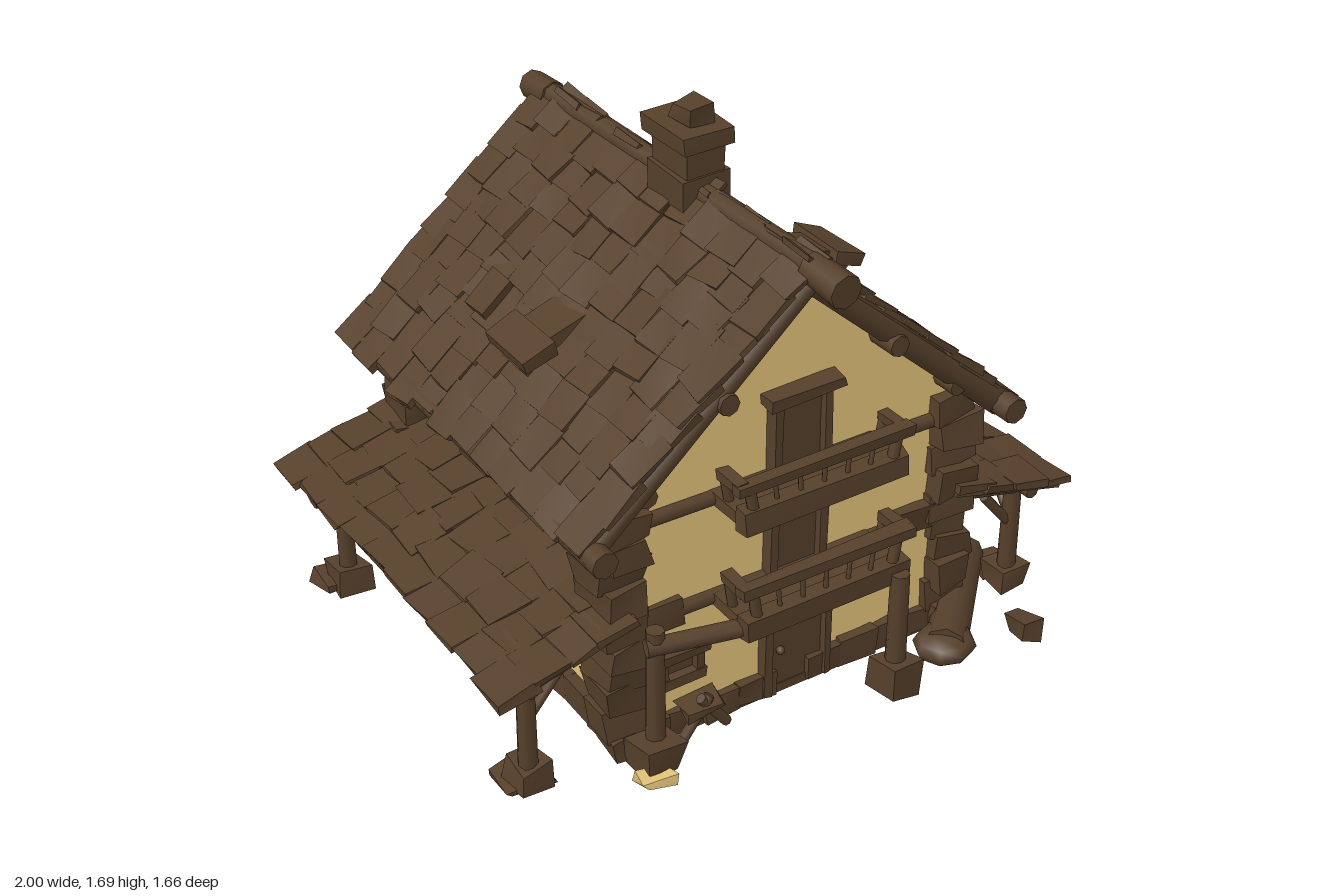
import * as THREE from 'three';
import { mergeGeometries } from 'three/addons/utils/BufferGeometryUtils.js';

export function createModel() {
  const model = new THREE.Group();
  const wood = new THREE.MeshStandardMaterial({ color: 0x56402b });
  wood.name = 'dark brown';
  const plaster = new THREE.MeshStandardMaterial({ color: 0xe6c67b });
  plaster.name = 'cream plaster';

  let seed = 7;
  const rnd = () => (seed = (seed * 16807) % 2147483647) / 2147483647;
  const jit = (a) => (rnd() - 0.5) * 2 * a;

  // Box whose eight corners are shifted by a small random amount
  function block(w, h, d, x, y, z, rough = 0, rot = [0, 0, 0]) {
    const g = new THREE.BoxGeometry(w, h, d);
    const p = g.attributes.position;
    const off = Array.from({ length: 8 }, () => [jit(rough), jit(rough), jit(rough)]);
    for (let i = 0; i < p.count; i++) {
      const o = off[(p.getX(i) > 0 ? 1 : 0) + (p.getY(i) > 0 ? 2 : 0) + (p.getZ(i) > 0 ? 4 : 0)];
      p.setXYZ(i, p.getX(i) + o[0], p.getY(i) + o[1], p.getZ(i) + o[2]);
    }
    g.computeVertexNormals();
    g.rotateX(rot[0]).rotateY(rot[1]).rotateZ(rot[2]);
    return g.translate(x, y, z);
  }

  // Round timber between two points
  function log(a, b, r, r2 = r) {
    const A = new THREE.Vector3(...a), B = new THREE.Vector3(...b);
    const dir = B.clone().sub(A);
    const g = new THREE.CylinderGeometry(r2, r, dir.length(), 8);
    g.applyQuaternion(new THREE.Quaternion().setFromUnitVectors(new THREE.Vector3(0, 1, 0), dir.normalize()));
    return g.translate(...A.add(B).multiplyScalar(0.5).toArray());
  }

  function part(name, geometries, material = wood, parent = model) {
    const m = new THREE.Mesh(mergeGeometries(geometries), material);
    m.name = name;
    parent.add(m);
    return m;
  }

  // Plastered house body with both gables
  const outline = new THREE.Shape([[-0.55, 0.03], [0.55, 0.03], [0.55, 0.88], [0, 1.38], [-0.55, 0.88]]
    .map(([x, y]) => new THREE.Vector2(x, y)));
  part('walls', [new THREE.ExtrudeGeometry(outline, { depth: 1.24, bevelEnabled: false }).translate(0, 0, -0.68)], plaster);
  part('floor', [block(1.13, 0.03, 1.28, 0, 0.03, -0.06)]);

  // Rough stone plinth along all four walls
  const plinth = [];
  for (let i = 0; i < 9; i++) {
    const t = (i + 0.5) / 9 - 0.5;
    for (const z of [0.565, -0.685]) {
      if (z > 0 && Math.abs(t * 1.1) < 0.09) continue;
      plinth.push(block(0.13, 0.085 + jit(0.02), 0.05, t * 1.1, 0.062, z, 0.01));
    }
    for (const s of [-1, 1]) plinth.push(block(0.05, 0.088, 0.15, s * 0.56, 0.064, t * 1.22 - 0.06, 0.006));
  }
  part('plinth', plinth);

  // Stacked stones on the four corners
  const quoins = [];
  for (const s of [-1, 1]) for (const z of [0.53, -0.655]) for (let i = 0; i < 10; i++) {
    const w = 0.13 + (i % 2) * 0.025 + jit(0.02), d = 0.155 - (i % 2) * 0.025 + jit(0.02);
    quoins.push(block(w, 0.09, d, s * (0.562 + jit(0.012)), 0.065 + i * 0.081, z + jit(0.01), 0.014));
  }
  part('cornerStones', quoins);

  // Horizontal timbers on the front and back
  const beams = [];
  for (const z of [0.565, -0.69]) for (const y of [0.44, 0.77])
    beams.push(log([-0.54, y + 0.008, z], [0.54, y - 0.008, z], 0.023));
  for (const s of [-1, 1]) beams.push(block(0.16, 0.09, 0.06, s * 0.45, 0.45, 0.56, 0.014));
  part('wallBeams', beams);

  // Main roof: sloped slab with rows of uneven shingles on each side
  const angle = Math.atan2(0.66, 0.74), slope = 0.98;
  for (const s of [-1, 1]) {
    const side = new THREE.Group();
    side.name = s > 0 ? 'leftRoof' : 'rightRoof';
    side.position.set(0, 1.45, 0);
    side.rotation.z = -s * angle;
    model.add(side);
    part('roofSlab', [block(slope, 0.045, 1.39, s * slope / 2, -0.03, -0.06)], wood, side);
    const shingles = [];
    for (let row = 0; row < 9; row++) for (let i = 0; i < 12; i++) {
      const d = 0.055 + row * 0.107 + jit(0.022);
      shingles.push(block(0.155, 0.018, 0.124, s * d, jit(0.004), -0.06 + (i - 5.5) * 0.118 + jit(0.008),
        0.006, [jit(0.03), jit(0.08), s * 0.06]));
    }
    if (s < 0) shingles.push(block(0.13, 0.025, 0.11, -0.6, 0.02, -0.3, 0.006));
    part('roofShingles', shingles, wood, side);
  }

  // Ridge pole, verge timbers and purlin ends
  const frame = [
    log([0, 1.43, -0.8], [0, 1.43, 0.72], 0.036),
    log([0, 1.425, 0.62], [0, 1.415, 0.77], 0.045, 0.05),
    log([0, 1.42, -0.83], [0, 1.425, -0.7], 0.046)];
  for (const s of [-1, 1]) {
    for (const z of [0.61, -0.73]) frame.push(log([s * 0.71, 0.77, z], [0, 1.385, z], 0.042, 0.036));
    frame.push(log([s * 0.28, 1.115, -0.8], [s * 0.28, 1.115, 0.66], 0.032));
    frame.push(log([s * 0.69, 0.8, -0.76], [s * 0.69, 0.79, 0.7], 0.04));
    frame.push(log([s * 0.52, 0.9, -0.78], [s * 0.52, 0.9, 0.64], 0.03));
  }
  part('roofTimbers', frame);

  // Small raised hoods on the roof slopes
  for (const s of [-1, 1]) part('roofHood', [
    block(0.11, 0.045, 0.22, s * 0.53, 1.068, 0, 0.006, [0, 0, -s * 0.33]),
    block(0.17, 0.04, 0.15, s * 0.42, 1.095, 0, 0.006, [0, 0, -s * 0.3]),
    block(0.12, 0.12, 0.1, s * 0.48, 1.01, 0, 0.004, [0, 0, -s * angle])]);

  // Chimney: tapered stack, cap and pot
  part('chimney', [
    block(0.15, 0.18, 0.19, 0, 1.4, 0.04, 0.006), block(0.125, 0.16, 0.17, 0, 1.51, 0.04, 0.004),
    block(0.165, 0.05, 0.23, 0, 1.6, 0.035, 0.006), block(0.08, 0.055, 0.1, 0, 1.65, 0.05, 0.01)]);

  // Framed opening facing +z, centred on x with its bottom at y = 0
  function opening(w, h, lintel) {
    return [block(w, h, 0.02, 0, h / 2, 0.006),
      ...[-1, 1].map((s) => block(0.025, h, 0.05, s * w / 2, h / 2, 0.015, 0.003)),
      block(lintel, 0.032, 0.07, 0, h + 0.002, 0.025, 0.006)];
  }
  function placeOpening(name, w, h, lintel, x, y, z, ry = 0, sill = false) {
    const list = opening(w, h, lintel);
    if (sill) list.push(block(w + 0.03, 0.028, 0.05, 0, 0.005, 0.018, 0.004));
    const m = part(name, list);
    m.position.set(x, y, z);
    m.rotation.y = ry;
  }
  placeOpening('frontDoor', 0.21, 0.29, 0.25, 0.015, 0.03, 0.56);
  placeOpening('middleDoor', 0.17, 0.25, 0.24, 0.005, 0.45, 0.56);
  placeOpening('upperDoor', 0.17, 0.25, 0.25, 0.01, 0.78, 0.56);
  placeOpening('frontWindow', 0.12, 0.1, 0.16, -0.385, 0.222, 0.56, 0, true);
  placeOpening('backWindow', 0.13, 0.1, 0.16, 0.38, 0.22, -0.68, Math.PI, true);
  for (const s of [-1, 1]) {
    placeOpening('sideWindow', 0.19, 0.135, 0.22, s * 0.55, 0.58, 0.09, s * Math.PI / 2, true);
    placeOpening('sideWindow', 0.14, 0.135, 0.165, s * 0.55, 0.58, -0.21, s * Math.PI / 2, true);
  }
  part('doorKnob', [new THREE.SphereGeometry(0.014, 8, 6).translate(-0.04, 0.17, 0.585)]);

  // Two balconies with spindled railings
  for (const [name, y, rail, z] of [['lowerBalcony', 0.44, 0.56, 0.735], ['upperBalcony', 0.775, 0.88, 0.71]]) {
    const list = [block(0.55, 0.035, z - 0.55, 0, y, (z + 0.55) / 2, 0.005),
      block(0.56, 0.07, 0.05, 0, y, z, 0.006),
      block(0.59, 0.032, 0.045, 0, rail, z, 0.005)];
    for (let i = 0; i < 7; i++) {
      const x = -0.25 + i * 0.083;
      list.push(log([x * 0.92, y, z], [x, rail, z], i % 6 ? 0.007 : 0.017));
    }
    for (const s of [-1, 1]) list.push(block(0.035, 0.03, 0.1, s * 0.27, rail, z - 0.05, 0.003),
      log([s * 0.25, y, z - 0.09], [s * 0.27, rail, z - 0.09], 0.015));
    part(name, list);
  }

  // Posts in front of the house
  part('balconyPosts', [
    log([0.24, 0.05, 0.765], [0.24, 0.44, 0.765], 0.032, 0.028), block(0.11, 0.11, 0.12, 0.24, 0.08, 0.77, 0.014),
    log([-0.51, 0.05, 0.65], [-0.51, 0.48, 0.65], 0.03, 0.027), block(0.12, 0.1, 0.12, -0.52, 0.07, 0.66, 0.014),
    log([-0.54, 0.43, 0.65], [-0.25, 0.43, 0.72], 0.027)]);

  // Lean-to roofs on both sides
  for (const s of [-1, 1]) {
    const shelter = new THREE.Group();
    shelter.name = s > 0 ? 'leftLeanTo' : 'rightLeanTo';
    model.add(shelter);
    const roof = [block(0.42, 0.03, 1.36, s * 0.755, 0.466, -0.05, 0.004, [0, 0, -s * 0.25])];
    for (let row = 0; row < 4; row++) for (let i = 0; i < 10; i++) {
      const x = 0.605 + row * 0.102 + jit(0.012) + (i % 9 === 0 ? 0.012 : 0);
      roof.push(block(0.135, 0.02, 0.146, s * x, 0.53 - (x - 0.57) * 0.26 + jit(0.004),
        -0.05 + (i - 4.5) * 0.14 + jit(0.006), 0.008, [0, jit(0.07), -s * 0.21]));
    }
    part('leanToShingles', roof, wood, shelter);
    const timber = [log([s * 0.87, 0.4, -0.7], [s * 0.87, 0.4, 0.61], 0.024)];
    for (const z of [0.54, -0.58]) {
      timber.push(log([s * 0.855, 0.04, z], [s * 0.855, 0.39, z], 0.03, 0.027),
        block(0.1, 0.08, 0.1, s * 0.855, 0.065, z, 0.012),
        log([s * 0.56, 0.47, z], [s * 0.955, 0.375, z], 0.032),
        log([s * 0.84, 0.27, z], [s * 0.74, 0.39, z], 0.016),
        log([s * 0.855, 0.27, z], [s * 0.865, 0.38, z - Math.sign(z) * 0.1], 0.016));
    }
    part('leanToFrame', timber, wood, shelter);
  }

  // Fallen log, rocks and woodpile on the ground
  part('fallenLog', [log([0.45, 0.075, 0.74], [0.82, 0.075, 0.39], 0.065, 0.055),
    new THREE.SphereGeometry(0.1, 8, 6).scale(1, 0.5, 0.9).translate(0.465, 0.07, 0.72)]);
  part('groundRocks', [
    block(0.06, 0.06, 0.1, 0.745, 0.04, 0.755, 0.015), block(0.1, 0.05, 0.08, 0.87, 0.045, 0.45, 0.012),
    block(0.14, 0.03, 0.13, -0.86, 0.035, 0.5, 0.012), block(0.13, 0.03, 0.12, -0.87, 0.03, -0.62, 0.014),
    block(0.1, 0.04, 0.1, 0.68, 0.035, -0.65, 0.014)]);
  part('woodpile', [
    log([-0.4, 0.03, 0.62], [-0.31, 0.15, 0.62], 0.016), log([-0.25, 0.03, 0.62], [-0.34, 0.15, 0.62], 0.016),
    block(0.12, 0.025, 0.08, -0.33, 0.115, 0.61, 0.012)]);
  part('paleStone', [block(0.1, 0.035, 0.06, -0.55, 0.035, 0.72, 0.014)], plaster);

  return model;
}
